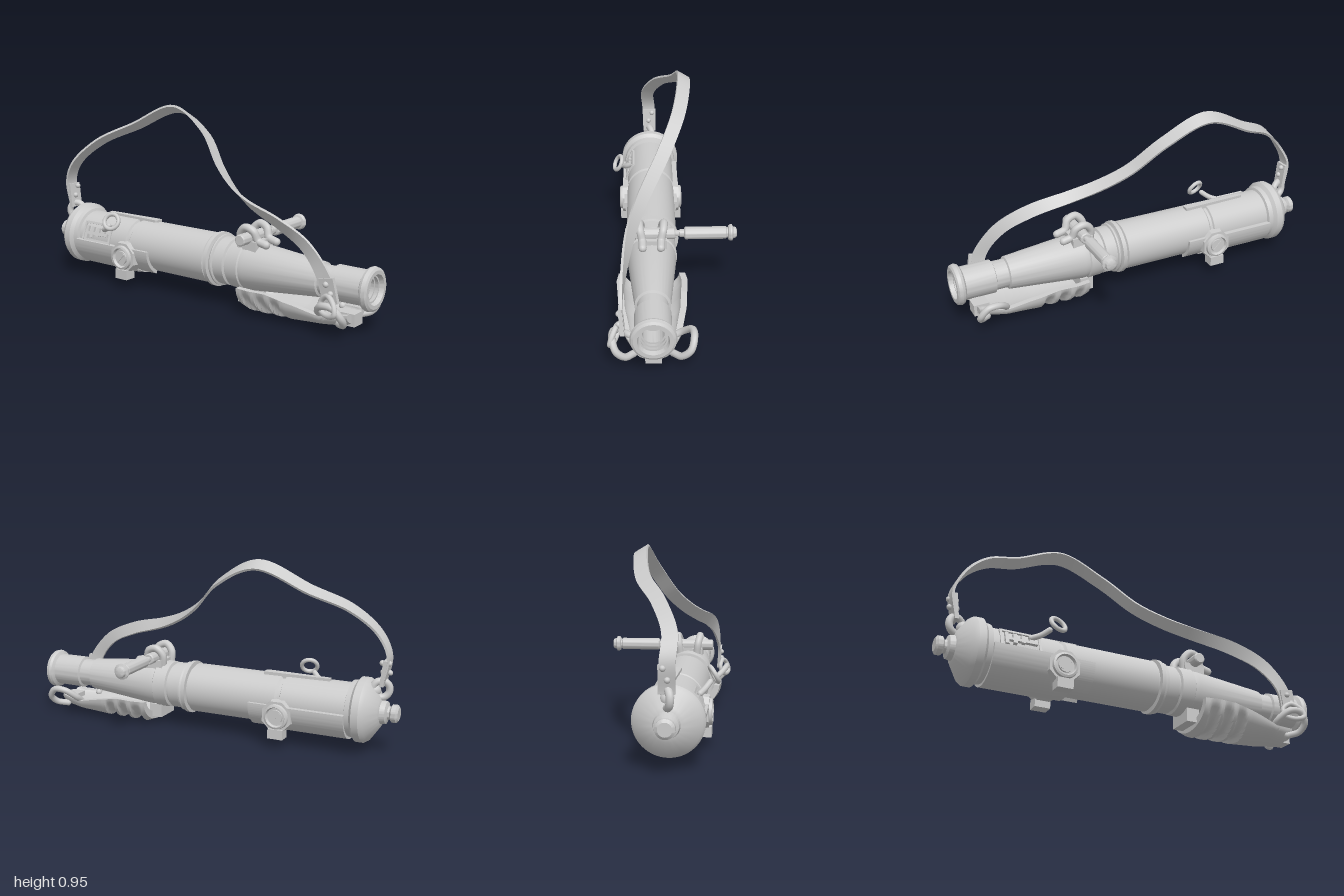
import * as THREE from 'three';
import { toCreasedNormals } from 'three/addons/utils/BufferGeometryUtils.js';

const CY = 0.22, CZ = 0.1; // barrel axis height and depth
const mat = new THREE.MeshStandardMaterial({ color: 0xcccccc });
const matDouble = new THREE.MeshStandardMaterial({ color: 0xcccccc, side: THREE.DoubleSide });
const V = (x, y, z) => new THREE.Vector3(x, y, z);

export function createModel() {
  const model = new THREE.Group();

  const add = (name, geo, pos = [0, 0, 0], rot = [0, 0, 0], parent = model, m = mat) => {
    const mesh = new THREE.Mesh(geo, m);
    mesh.name = name;
    mesh.position.set(...pos);
    mesh.rotation.set(...rot);
    parent.add(mesh);
    return mesh;
  };
  const box = (name, size, pos, rot, parent) => add(name, new THREE.BoxGeometry(...size), pos, rot, parent);
  // Profile of [position along axis, radius], turned about +y
  const lathe = (profile, seg = 48) =>
    toCreasedNormals(new THREE.LatheGeometry(profile.map(([a, r]) => new THREE.Vector2(r, a)), seg), 0.5);
  const tube = (name, pts, r, closed = false, parent = model) => {
    const curve = new THREE.CatmullRomCurve3(pts.map((p) => V(...p)), closed);
    add(name, new THREE.TubeGeometry(curve, 48, r, 10, closed), [0, 0, 0], [0, 0, 0], parent);
    if (!closed) for (const p of [pts[0], pts[pts.length - 1]])
      add(name + 'End', new THREE.SphereGeometry(r, 10, 8), p, [0, 0, 0], parent);
  };
  // Closed cross-sections joined along a path, with both ends capped
  const loft = (rings, crease) => {
    const n = rings[0].length, pos = rings.flat().flatMap((p) => [p.x, p.y, p.z]), idx = [];
    for (let i = 0; i < rings.length - 1; i++) for (let j = 0; j < n; j++) {
      const a = i * n + j, b = i * n + (j + 1) % n;
      idx.push(a, b, b + n, a, b + n, a + n);
    }
    const last = (rings.length - 1) * n;
    for (let j = 0; j < n / 2 - 1; j++) {
      const q = [j, j + 1, n - 2 - j, n - 1 - j];
      idx.push(q[0], q[2], q[1], q[0], q[3], q[2]);
      idx.push(last + q[0], last + q[1], last + q[2], last + q[0], last + q[2], last + q[3]);
    }
    const g = new THREE.BufferGeometry();
    g.setAttribute('position', new THREE.Float32BufferAttribute(pos, 3));
    g.setIndex(idx);
    return toCreasedNormals(g, crease);
  };
  // Curved plate around the barrel axis
  const shell = (name, r0, r1, a0, a1, x0, x1) => {
    const s = new THREE.Shape();
    s.absarc(0, 0, r1, a0, a1, false);
    s.absarc(0, 0, r0, a1, a0, true);
    const g = new THREE.ExtrudeGeometry(s, { depth: x1 - x0, bevelEnabled: false, curveSegments: 32 });
    add(name, toCreasedNormals(g, 0.5), [x0, CY, CZ], [0, Math.PI / 2, 0]);
  };

  // Barrel with end cap, rings, taper and hollow muzzle
  add('barrel', lathe([
    [-1, 0], [-1, 0.032], [-0.99, 0.045], [-0.968, 0.045], [-0.958, 0.032], [-0.948, 0.034], [-0.94, 0.055],
    [-0.915, 0.06], [-0.91, 0.078], [-0.86, 0.15], [-0.84, 0.163], [-0.805, 0.163], [-0.79, 0.145], [-0.765, 0.142],
    [-0.76, 0.128], [-0.425, 0.128], [-0.42, 0.118], [-0.405, 0.118], [-0.395, 0.128], [0.09, 0.128],
    [0.095, 0.115], [0.103, 0.115], [0.105, 0.138], [0.125, 0.138], [0.13, 0.122], [0.14, 0.13], [0.148, 0.13],
    [0.152, 0.12], [0.21, 0.12], [0.215, 0.108], [0.225, 0.108], [0.23, 0.122], [0.3, 0.126], [0.305, 0.119],
    [0.33, 0.121], [0.72, 0.084], [0.725, 0.073], [0.79, 0.073], [0.795, 0.085], [0.95, 0.084],
    [0.96, 0.1], [0.973, 0.105], [0.99, 0.101], [0.997, 0.09], [0.997, 0.072], [0.975, 0.066], [0.975, 0.058],
    [0.955, 0.062], [0.955, 0.054], [0.935, 0.058], [0.935, 0.05], [0.85, 0.05], [0.85, 0]], 64),
  [0, CY, CZ], [0, 0, -Math.PI / 2]);

  // Lower sheath around the rear of the barrel
  shell('rearSheath', 0.12, 0.155, Math.PI, Math.PI * 2, -0.765, -0.4);
  shell('rearSheathLip', 0.12, 0.145, Math.PI, Math.PI * 1.35, -0.4, -0.26);
  shell('rearSheathLip', 0.12, 0.145, Math.PI * 1.65, Math.PI * 2, -0.4, -0.26);
  shell('sheathBand', 0.12, 0.15, Math.PI * 1.3, Math.PI * 1.7, -0.45, -0.36);

  // Octagonal pivot bolts and feet on both flanks
  for (const s of [1, -1]) {
    const boss = new THREE.Group();
    boss.name = 'pivotBoss';
    boss.position.set(-0.42, 0.17, CZ);
    boss.rotation.x = s * Math.PI / 2;
    model.add(boss);
    add('bossPlate', toCreasedNormals(new THREE.CylinderGeometry(0.082, 0.092, 0.08, 8), 0.3), [0, 0.115, 0], [0, Math.PI / 8, 0], boss);
    add('bossRing', lathe([[0.15, 0.066], [0.168, 0.062], [0.172, 0.052], [0.158, 0.046], [0.156, 0]], 32), [0, 0, 0], [0, 0, 0], boss);
    add('boltHead', new THREE.CylinderGeometry(0.036, 0.036, 0.03, 24), [0, 0.152, 0], [0, 0, 0], boss);
    box('boltSlot', [0.064, 0.006, 0.012], [0, 0.168, 0], [0, 0.8, 0], boss);
    box('sheathFoot', [0.08, 0.05, 0.06], [-0.42, 0.08, CZ + s * 0.137]);
  }

  // Tapered rail on top
  const rail = new THREE.Shape([[-0.65, -0.105], [-0.31, -0.115], [-0.3, -0.11], [-0.3, -0.07], [-0.65, -0.08]]
    .map((p) => new THREE.Vector2(...p)));
  add('topRail', new THREE.ExtrudeGeometry(rail, { depth: 0.03, bevelEnabled: false }), [0, 0.33, 0], [-Math.PI / 2, 0, 0]);

  // Latch window with bolt, turned around the barrel axis
  const latch = new THREE.Group();
  latch.name = 'latch';
  latch.position.set(0, CY, CZ);
  latch.rotation.x = -0.38;
  model.add(latch);
  for (const y of [-0.047, 0.047]) box('latchFrame', [0.19, 0.012, 0.03], [-0.63, y, 0.115], undefined, latch);
  for (const x of [-0.725, -0.535]) box('latchFrame', [0.012, 0.1, 0.03], [x, 0, 0.118], undefined, latch);
  for (const [i, x] of [-0.7, -0.66, -0.62, -0.58].entries())
    box('latchTooth', [0.018, 0.07 - i * 0.012, 0.03], [x, -0.008 + i * 0.004, 0.125], undefined, latch);
  box('latchBar', [0.16, 0.016, 0.03], [-0.63, -0.01, 0.125], undefined, latch);
  tube('pullRingStem', [[-0.58, 0.29, 0.22], [-0.54, 0.305, 0.24], [-0.505, 0.33, 0.262]], 0.014);
  add('pullRing', new THREE.TorusGeometry(0.04, 0.011, 12, 32), [-0.47, 0.36, 0.278], [-0.5, 0.25, 0]);

  // Side handle lying across the barrel
  add('crossHandle', lathe([[-0.23, 0], [-0.23, 0.024], [-0.225, 0.029], [0.01, 0.029], [0.015, 0.024], [0.015, 0.015],
    [0.035, 0.015], [0.037, 0.019], [0.058, 0.019], [0.06, 0.026], [0.065, 0.031], [0.262, 0.031], [0.267, 0.026],
    [0.272, 0.026], [0.276, 0.036], [0.285, 0.041], [0.293, 0.041], [0.298, 0.03], [0.312, 0.026], [0.316, 0.018], [0.316, 0]], 28),
  [0.325, 0.37, 0], [-Math.PI / 2, 0, 0]);
  // Clamps over the handle
  box('handleSaddle', [0.11, 0.05, 0.15], [0.325, 0.333, CZ]);
  for (const s of [1, -1]) {
    const z = (o) => CZ + s * o;
    tube('handleClamp', [[0.275, 0.33, z(0.045)], [0.275, 0.385, z(0.052)], [0.31, 0.42, z(0.06)],
      [0.355, 0.405, z(0.056)], [0.375, 0.36, z(0.046)], [0.42, 0.345, z(0.044)]], 0.02);
  }

  // Lower fore guard: a tapering trough with three grooves underneath
  const key = (x, table) => {
    let i = 0;
    while (i < table.length - 2 && x > table[i + 1][0]) i++;
    return THREE.MathUtils.mapLinear(x, table[i][0], table[i + 1][0], table[i][1], table[i + 1][1]);
  };
  const guard = [];
  for (let i = 0; i <= 96; i++) {
    const x = 0.33 + 0.565 * i / 96, outer = [], inner = [];
    const hw = key(x, [[0.33, 0.165], [0.4, 0.175], [0.6, 0.162], [0.75, 0.135], [0.895, 0.085]]);
    const top = key(x, [[0.33, 0.145], [0.5, 0.145], [0.65, 0.115], [0.77, 0.085], [0.895, 0.1]]);
    const bot = key(x, [[0.33, 0.02], [0.37, 0.004], [0.6, 0.008], [0.86, 0.028], [0.895, 0.045]]);
    for (let j = 0; j <= 24; j++) {
      const t = -Math.PI / 2 + Math.PI * j / 24;
      let bite = 0;
      for (const c of [0.415, 0.495, 0.575]) {
        const d = (x - c + 0.03 * Math.abs(Math.sin(t))) / 0.029;
        if (Math.abs(d) < 1) bite = 0.029 * Math.sqrt(1 - d * d) * Math.min(1, 1.8 * Math.cos(t));
      }
      outer.push(V(x, Math.min(top, top - (top - bot) * Math.cos(t) + bite), CZ + (hw - bite * 0.3) * Math.sin(t)));
      inner.unshift(V(x, top - Math.max(0.01, top - bot - 0.042) * Math.cos(t), CZ + (hw - 0.03) * Math.sin(t)));
    }
    guard.push([...outer, ...inner]);
  }
  add('foreGuard', loft(guard, 0.6), undefined, undefined, model, matDouble);
  box('guardBracket', [0.07, 0.07, 0.14], [0.31, 0.08, CZ]);
  box('guardPad', [0.08, 0.06, 0.075], [0.87, 0.065, CZ]);

  // Loops either side of the guard's front end
  for (const s of [1, -1]) tube('guardLoop', [[0.77, 0.08, 0.09], [0.775, 0.115, 0.14], [0.82, 0.155, 0.18],
    [0.88, 0.155, 0.185], [0.915, 0.11, 0.17], [0.905, 0.07, 0.13], [0.86, 0.055, 0.09]]
    .map(([x, y, o]) => [x, y, CZ + s * o]), 0.017);

  // Carrying strap: centre x, y, z and half-width vector
  const path = [
    [-0.92, 0.37, 0.1, 0, 0, 0.036], [-0.94, 0.5, 0.105, 0, 0, 0.036], [-0.885, 0.61, 0.11, 0, 0.005, 0.035],
    [-0.76, 0.73, 0.05, 0, 0.012, 0.032], [-0.58, 0.82, -0.04, 0, 0.016, 0.031], [-0.32, 0.928, -0.077, 0, 0.019, 0.031],
    [-0.1, 0.825, -0.045, 0, 0.014, 0.032], [0.06, 0.675, 0.035, 0, 0.014, 0.031], [0.195, 0.59, 0.102, 0, 0.018, 0.028],
    [0.33, 0.535, 0.155, 0, 0.024, 0.022], [0.54, 0.475, 0.205, 0.006, 0.03, 0.016], [0.7, 0.4, 0.23, 0.02, 0.025, 0.008],
    [0.805, 0.28, 0.243, 0.033, 0.012, 0], [0.835, 0.17, 0.235, 0.035, 0.01, 0]];
  const centre = new THREE.CatmullRomCurve3(path.map((p) => V(p[0], p[1], p[2])));
  const width = new THREE.CatmullRomCurve3(path.map((p) => V(p[3], p[4], p[5])), false, 'catmullrom', 0.4);
  const strap = [];
  for (let i = 0; i <= 140; i++) {
    const t = i / 140, c = centre.getPoint(t), w = width.getPoint(t);
    const n = centre.getTangent(t).cross(w).normalize().multiplyScalar(0.006);
    strap.push([[1, 1], [-1, 1], [-1, -1], [1, -1]].map(([a, b]) => c.clone().addScaledVector(w, a).addScaledVector(n, b)));
  }
  add('strap', loft(strap, 0.6), undefined, undefined, model, matDouble);

  // Strap end tabs, rivets and rings
  box('rearStrapTab', [0.02, 0.13, 0.074], [-0.922, 0.42, CZ], [0, 0, 0.12]);
  for (const [y, z] of [[0.42, 0.105], [0.47, 0.085]]) for (const x of [-0.945, -0.91])
    add('rivet', new THREE.SphereGeometry(0.014, 12, 8), [x, y, z]);
  box('frontStrapTab', [0.075, 0.12, 0.018], [0.835, 0.22, 0.243], [0.08, 0, 0.2]);
  for (const [x, y] of [[0.825, 0.25], [0.85, 0.21]])
    add('rivet', new THREE.SphereGeometry(0.014, 12, 8), [x, y, 0.255]);
  tube('frontStrapRing', [[0.8, 0.17, 0.25], [0.84, 0.2, 0.262], [0.885, 0.17, 0.285], [0.895, 0.13, 0.295], [0.85, 0.115, 0.28], [0.805, 0.13, 0.262]], 0.013, true);
  add('rearStrapRing', new THREE.TorusGeometry(0.042, 0.018, 12, 28), [-0.905, 0.335, CZ], [0, 0.4, 0]);
  add('rearRingLug', new THREE.SphereGeometry(0.035, 16, 12), [-0.87, 0.325, CZ]);

  return model;
}
